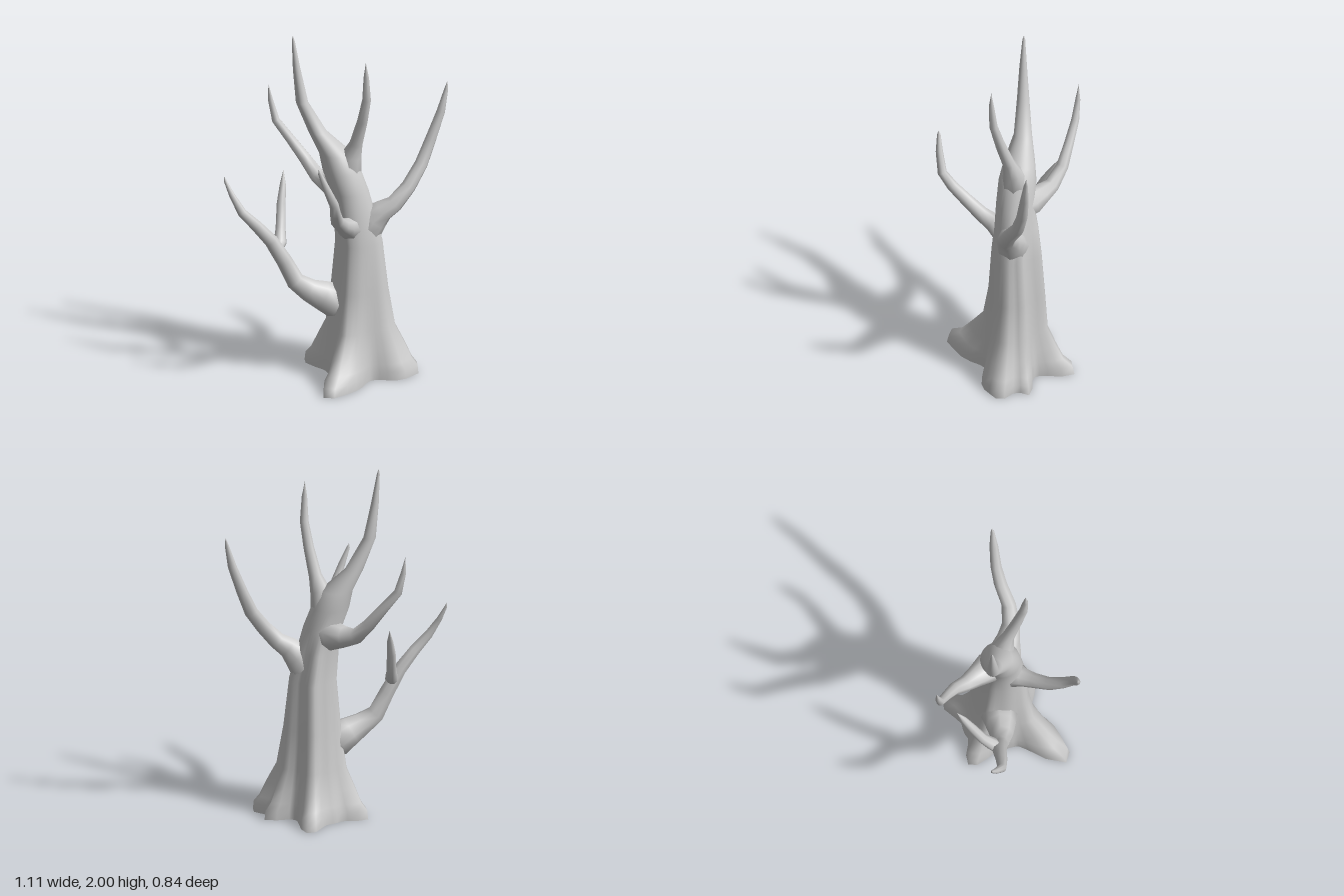
import * as THREE from 'three';

const V = (x, y, z) => new THREE.Vector3(x, y, z);
const bark = new THREE.MeshStandardMaterial({ color: 0xcccccc, side: THREE.DoubleSide });

// Skin a list of closed rings, all with the same number of points
function loft(rings, name) {
  const n = rings[0].length, index = [];
  for (let r = 0; r < rings.length - 1; r++) {
    for (let i = 0; i < n; i++) {
      const a = r * n + i, b = r * n + (i + 1) % n;
      index.push(a, a + n, b, b, a + n, b + n);
    }
  }
  const geo = new THREE.BufferGeometry().setFromPoints(rings.flat());
  geo.setIndex(index);
  geo.computeVertexNormals();
  const mesh = new THREE.Mesh(geo, bark);
  mesh.name = name;
  return mesh;
}

// Trunk levels: y, centre x, centre z, core radius, share of root flare, height of the back ridge
const LEVELS = [
  [0, 0.12, -0.08, 0.17, 1, 0],
  [0.05, 0.12, -0.08, 0.17, 0.96, 0],
  [0.09, 0.12, -0.08, 0.168, 0.74, 0],
  [0.17, 0.12, -0.08, 0.16, 0.54, 0.008],
  [0.28, 0.12, -0.08, 0.148, 0.26, 0.016],
  [0.5, 0.12, -0.08, 0.135, 0.13, 0.03],
  [0.78, 0.123, -0.075, 0.12, 0.05, 0.038],
  [0.95, 0.1, -0.07, 0.11, 0.02, 0.022],
  [1.08, 0.078, -0.06, 0.103, 0.01, 0],
  [1.2, 0.037, -0.055, 0.104, 0, 0],
  [1.3, 0, -0.048, 0.086, 0, 0],
  [1.42, -0.09, -0.025, 0.05, 0, 0],
  [1.6, -0.168, 0.012, 0.034, 0, 0],
  [1.8, -0.195, 0.025, 0.021, 0, 0],
  [1.97, -0.213, 0.03, 0.008, 0, 0],
  [2, -0.215, 0.03, 0, 0, 0],
];

// Roots: direction x, direction z, extra reach, angular width, steepness, share of ridge
const ROOTS = [
  [-0.05, 0.43, 0.255, 0.25, 1.25, 0],
  [0.08, 0.3, 0.11, 0.26, 1.1, 0],
  [0.33, 0.06, 0.11, 0.3, 0.75, 0],
  [0.33, -0.08, 0.155, 0.26, 0.75, 0],
  [0.24, -0.21, 0.13, 0.2, 1, 0.4],
  [-0.06, -0.34, 0.175, 0.28, 1.5, 1],
  [-0.17, -0.17, 0.05, 0.3, 1, 0],
  [-0.32, -0.04, 0.15, 0.3, 1, 0],
];

function trunk() {
  const n = 44;
  const rings = LEVELS.map(([y, cx, cz, core, flare, ridge]) =>
    Array.from({ length: n }, (_, i) => {
      const t = (i / n) * Math.PI * 2;
      let r = core;
      for (const [dx, dz, reach, width, steep, share] of ROOTS) {
        let d = t - Math.atan2(dz, dx);
        d = Math.atan2(Math.sin(d), Math.cos(d)) / width;
        r += (reach * flare ** steep + ridge * share) * Math.exp(-d * d);
      }
      return V(cx + r * Math.cos(t), y, cz + r * Math.sin(t));
    }));
  return loft(rings, 'trunk');
}

// Tapered crooked limb through points [x, y, z, radius], ending in a point
function branch(name, path, sides = 8) {
  const pts = path.map(([x, y, z]) => V(x, y, z));
  let u = V(0.3, 0.1, 1);
  const rings = pts.map((p, k) => {
    const before = pts[Math.max(k - 1, 0)], after = pts[Math.min(k + 1, pts.length - 1)];
    const inDir = p.clone().sub(before).normalize(), outDir = after.clone().sub(p).normalize();
    const t = inDir.add(outDir).normalize();
    u = u.clone().addScaledVector(t, -u.dot(t)).normalize();
    const v = u.clone().cross(t);
    return Array.from({ length: sides }, (_, i) => {
      const a = (i / sides) * Math.PI * 2, r = path[k][3];
      return p.clone().addScaledVector(u, r * Math.cos(a)).addScaledVector(v, r * Math.sin(a));
    });
  });
  return loft(rings, name);
}

const BRANCHES = {
  upperBranch: [
    [0.05, 1.08, -0.06, 0.06], [0.07, 1.2, -0.06, 0.078], [0.095, 1.29, -0.055, 0.056],
    [0.125, 1.37, -0.045, 0.036], [0.17, 1.52, -0.015, 0.029], [0.202, 1.66, 0.01, 0.024],
    [0.204, 1.8, 0.022, 0.015], [0.202, 1.89, 0.024, 0],
  ],
  leftBranch: [
    [0.13, 0.75, -0.08, 0.08], [0.165, 0.85, -0.09, 0.094], [0.21, 0.915, -0.1, 0.083],
    [0.26, 0.96, -0.11, 0.062], [0.32, 1.0, -0.127, 0.049], [0.385, 1.09, -0.175, 0.041],
    [0.434, 1.2, -0.25, 0.037], [0.472, 1.33, -0.297, 0.031], [0.52, 1.49, -0.335, 0.024],
    [0.545, 1.62, -0.356, 0.011], [0.55, 1.665, -0.362, 0],
  ],
  backBranch: [
    [0.08, 1.03, -0.08, 0.07], [0.01, 1.055, -0.115, 0.084], [-0.07, 1.065, -0.148, 0.06],
    [-0.14, 1.085, -0.178, 0.044], [-0.22, 1.17, -0.203, 0.035], [-0.3, 1.27, -0.203, 0.028],
    [-0.385, 1.375, -0.2, 0.023], [-0.415, 1.49, -0.2, 0.015], [-0.428, 1.59, -0.2, 0],
  ],
  lowerBranch: [
    [0.08, 0.4, -0.08, 0.05], [0.0, 0.42, -0.035, 0.1], [-0.06, 0.46, 0.005, 0.083],
    [-0.12, 0.495, 0.04, 0.065], [-0.19, 0.55, 0.066, 0.051], [-0.245, 0.67, 0.088, 0.044],
    [-0.31, 0.8, 0.127, 0.038], [-0.38, 0.9, 0.174, 0.032], [-0.45, 0.985, 0.212, 0.025],
    [-0.51, 1.08, 0.207, 0.016], [-0.55, 1.16, 0.203, 0.008], [-0.555, 1.185, 0.203, 0],
  ],
  lowerTwig: [
    [-0.28, 0.735, 0.105, 0.025], [-0.277, 0.77, 0.065, 0.036], [-0.292, 0.83, 0.01, 0.028],
    [-0.306, 0.95, -0.045, 0.025], [-0.312, 1.04, -0.095, 0.018], [-0.32, 1.12, -0.132, 0],
  ],
  frontBranch: [
    [0.105, 0.87, -0.08, 0.05], [0.103, 0.885, 0.01, 0.075], [0.1, 0.91, 0.065, 0.052],
    [0.1, 0.945, 0.135, 0.042], [0.1, 1.01, 0.225, 0.036], [0.115, 1.09, 0.305, 0.031],
    [0.125, 1.17, 0.362, 0.026], [0.09, 1.28, 0.397, 0.02], [0.06, 1.37, 0.415, 0.01],
    [0.055, 1.395, 0.418, 0],
  ],
};

export function createModel() {
  const tree = new THREE.Group();
  tree.name = 'bareTree';
  tree.add(trunk());
  for (const [name, path] of Object.entries(BRANCHES)) tree.add(branch(name, path));
  return tree;
}
